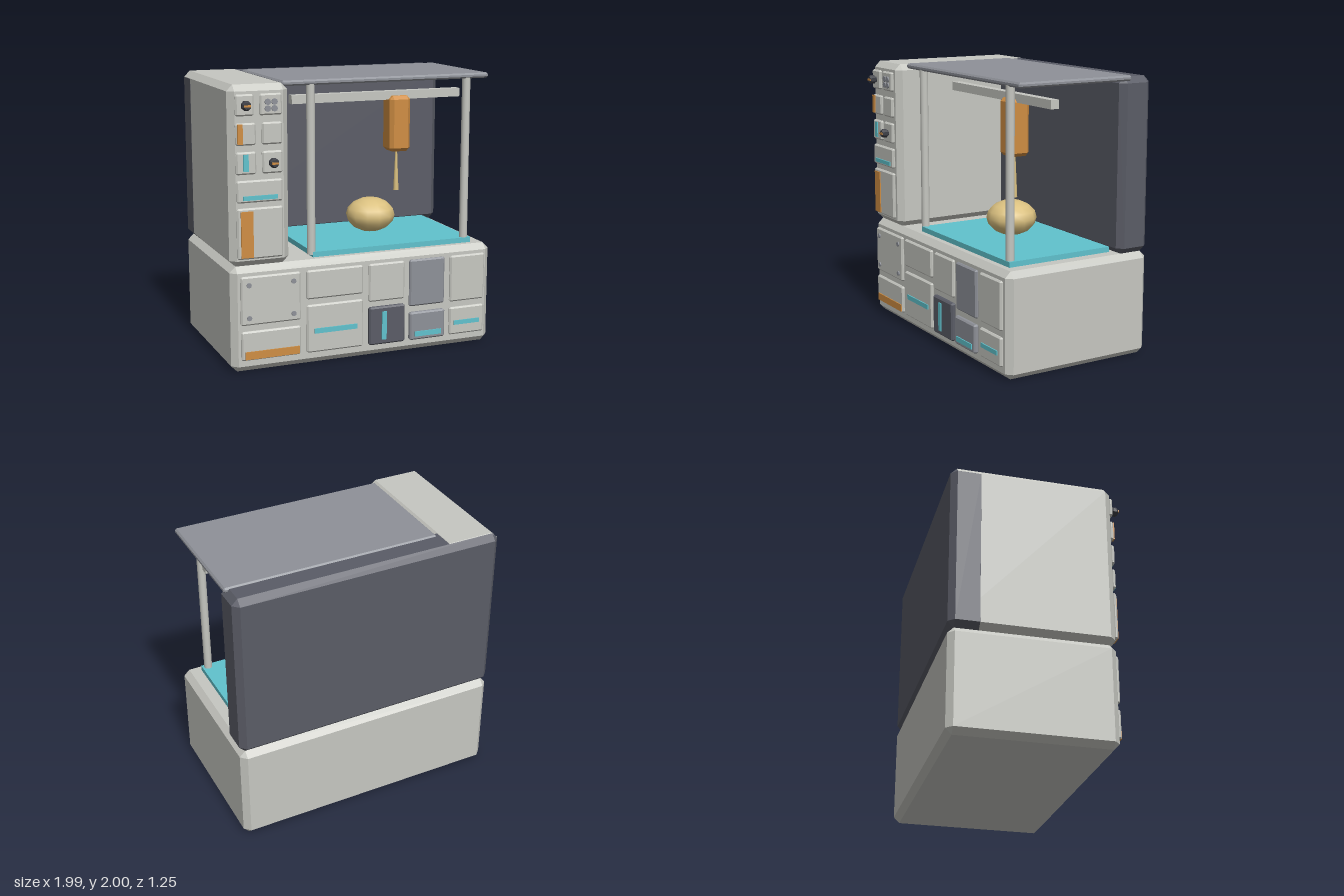
import * as THREE from 'three';
import { ConvexGeometry } from 'three/addons/geometries/ConvexGeometry.js';

const material = (name, color) => new THREE.MeshStandardMaterial({ name, color });

// Box with every edge cut at 45 degrees
function chamferBox(w, h, d, c) {
  const points = [];
  for (const sx of [-1, 1]) for (const sy of [-1, 1]) for (const sz of [-1, 1]) {
    const x = w / 2, y = h / 2, z = d / 2;
    points.push(
      new THREE.Vector3(sx * x, sy * (y - c), sz * (z - c)),
      new THREE.Vector3(sx * (x - c), sy * y, sz * (z - c)),
      new THREE.Vector3(sx * (x - c), sy * (y - c), sz * z));
  }
  return new ConvexGeometry(points);
}

export function createModel() {
  const light = material('light grey', 0xc6c7c1);
  const middle = material('middle grey', 0x8e9198);
  const dark = material('dark grey', 0x5a5c66);
  const black = material('knob black', 0x3c3e45);
  const orange = material('orange', 0xcf8d42);
  const teal = material('teal', 0x60c2cd);
  const tan = material('tan', 0xdbc180);

  const model = new THREE.Group();
  model.name = 'printer';
  const FRONT = 0.537, BACK = -0.624;

  function add(name, geometry, mat, x, y, z) {
    const mesh = new THREE.Mesh(geometry, mat);
    mesh.name = name;
    mesh.position.set(x, y, z);
    model.add(mesh);
    return mesh;
  }
  // Box given by its limits; c is the chamfer
  function block(name, mat, [x0, x1], [y0, y1], [z0, z1], c = 0) {
    const size = [x1 - x0, y1 - y0, z1 - z0];
    const geometry = c ? chamferBox(...size, c) : new THREE.BoxGeometry(...size);
    return add(name, geometry, mat, (x0 + x1) / 2, (y0 + y1) / 2, (z0 + z1) / 2);
  }

  // Housing
  block('base', light, [-0.997, 0.997], [0, 0.752], [BACK, FRONT], 0.043);
  block('controlColumn', light, [-0.996, -0.57], [0.752, 1.993], [BACK + 0.003, FRONT], 0.043);
  block('backWall', dark, [-0.997, 0.997], [0.752, 1.99], [BACK, -0.37], 0.043);
  block('roof', middle, [-0.59, 0.993], [1.962, 2], [-0.452, 0.452], 0.012);
  block('printBed', teal, [-0.372, 0.872], [0.75, 0.79], [-0.375, 0.452]);

  // Posts and rail
  for (const x of [-0.373, 0.828]) {
    add('post', new THREE.CylinderGeometry(0.03, 0.03, 1.2, 12), light, x, 1.37, 0.42);
  }
  block('rail', light, [-0.415, 0.912], [1.8, 1.862], [0.093, 0.157]);

  // Print head, nozzle stream and printed food
  const headX = 0.414, headZ = 0.125;
  add('printHead', chamferBox(0.163, 0.41, 0.163, 0.026), orange, headX, 1.623, headZ);
  add('nozzle', new THREE.CylinderGeometry(0.007, 0.021, 0.3, 8), tan, headX, 1.27, headZ);
  const food = add('food', new THREE.SphereGeometry(1, 12, 8), tan, 0.243, 0.933, 0.042);
  food.scale.set(0.183, 0.128, 0.183);

  // Front panels: x limits, y limits, material, height, optional bar [material, x limits, y limits]
  const panels = [
    [[-0.955, -0.825], [1.787, 1.932], light, 0.025],
    [[-0.785, -0.627], [1.787, 1.932], light, 0.025],
    [[-0.955, -0.812], [1.59, 1.74], light, 0.025, [orange, [-0.945, -0.908], [1.6, 1.735]]],
    [[-0.77, -0.627], [1.59, 1.74], light, 0.025],
    [[-0.955, -0.812], [1.393, 1.546], light, 0.025, [teal, [-0.907, -0.87], [1.415, 1.53]]],
    [[-0.77, -0.627], [1.393, 1.546], light, 0.025],
    [[-0.955, -0.627], [1.2, 1.352], light, 0.025, [teal, [-0.912, -0.667], [1.218, 1.248]]],
    [[-0.955, -0.627], [0.81, 1.163], light, 0.025, [orange, [-0.93, -0.843], [0.822, 1.142]]],
    [[-0.938, -0.502], [0.342, 0.688], light, 0.025],
    [[-0.938, -0.502], [0.09, 0.298], light, 0.025, [orange, [-0.912, -0.517], [0.1, 0.155]]],
    [[-0.458, -0.032], [0.48, 0.688], light, 0.025],
    [[-0.458, -0.032], [0.09, 0.438], light, 0.025, [teal, [-0.405, -0.08], [0.23, 0.266]]],
    [[0.013, 0.292], [0.41, 0.688], light, 0.025],
    [[0.013, 0.292], [0.09, 0.37], dark, 0.037, [teal, [0.107, 0.143], [0.127, 0.336]]],
    [[0.332, 0.612], [0.342, 0.688], middle, 0.025],
    [[0.332, 0.612], [0.09, 0.298], middle, 0.037, [teal, [0.368, 0.58], [0.118, 0.155]]],
    [[0.657, 0.938], [0.342, 0.688], light, 0.025],
    [[0.657, 0.938], [0.09, 0.298], light, 0.025, [teal, [0.69, 0.9], [0.166, 0.198]]],
  ];
  for (const [xs, ys, mat, height, bar] of panels) {
    const top = FRONT + height;
    block('frontPanel', mat, xs, ys, [FRONT - 0.004, top], 0.011);
    if (bar) block('panelBar', bar[0], bar[1], bar[2], [top - 0.001, top + 0.008]);
  }

  // Round studs: four on the speaker panel, four on the service hatch
  function studs(name, xs, ys, r) {
    for (const x of xs) for (const y of ys) {
      const stud = add(name, new THREE.CylinderGeometry(r, r, 0.012, 8), middle, x, y, FRONT + 0.029);
      stud.rotation.x = Math.PI / 2;
    }
  }
  studs('speakerStud', [-0.731, -0.683], [1.832, 1.877], 0.022);
  studs('hatchBolt', [-0.88, -0.557], [0.395, 0.628], 0.018);

  // Knobs with an orange pointer
  const profile = [[0.022, 0], [0.022, 0.012], [0.034, 0.02], [0.034, 0.046], [0.024, 0.06], [0, 0.06]]
    .map(([r, y]) => new THREE.Vector2(r, y));
  const knobShape = new THREE.LatheGeometry(profile, 8).toNonIndexed();
  knobShape.computeVertexNormals();
  for (const [x, y] of [[-0.89, 1.86], [-0.7, 1.468]]) {
    const knob = add('knob', knobShape, black, x, y, FRONT + 0.021);
    knob.rotation.set(Math.PI / 2, Math.PI / 8, 0);
    add('knobPointer', new THREE.BoxGeometry(0.046, 0.014, 0.008), orange, x, y, FRONT + 0.083);
  }
  return model;
}
